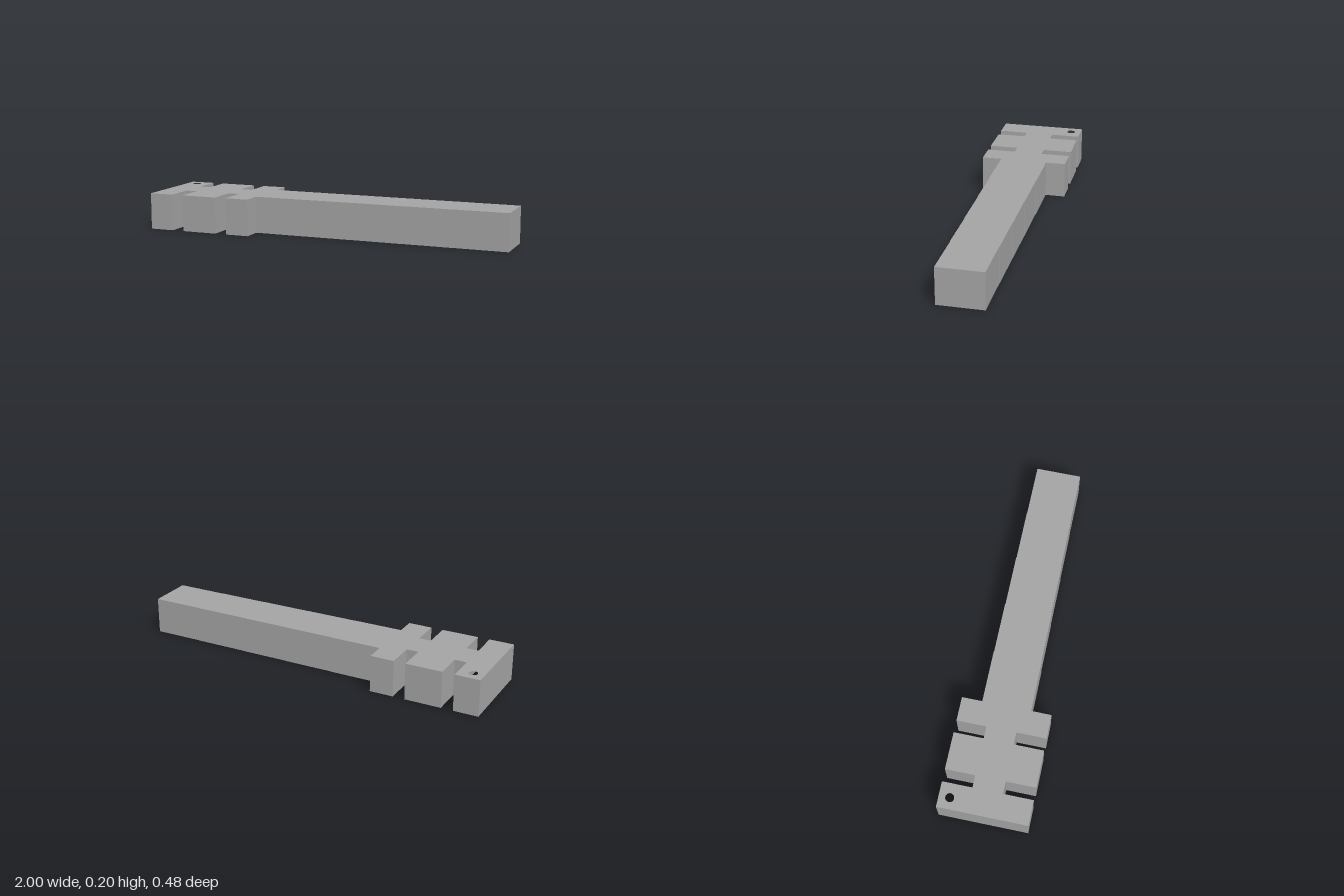
import * as THREE from 'three';

export function createModel() {
  const group = new THREE.Group();
  const grey = new THREE.MeshStandardMaterial({ color: 0xa3a3a3 });
  grey.name = 'grey';

  // Half outline along the length: [x, half width]
  const half = [
    [-1, 0.24], [-0.865, 0.24], [-0.865, 0.08], [-0.8, 0.08],
    [-0.8, 0.24], [-0.6, 0.24], [-0.6, 0.08], [-0.535, 0.08],
    [-0.535, 0.24], [-0.405, 0.24],
  ];

  // Shaft narrows in five slight, equal-length steps
  const steps = 5, start = -0.405, len = (1 - start) / steps;
  for (let i = 0; i < steps; i++) {
    const w = 0.131 - i * 0.002;
    half.push([start + i * len, w], [start + (i + 1) * len, w]);
  }

  // Mirror the outline across the centre line
  const outline = [...half, ...half.map(([x, w]) => [x, -w]).reverse()];
  const shape = new THREE.Shape(outline.map(([x, w]) => new THREE.Vector2(x, w)));

  // Small through hole in the back corner of the head
  const hole = new THREE.Path();
  hole.absarc(-0.94, 0.182, 0.023, 0, Math.PI * 2, true);
  shape.holes.push(hole);

  const geometry = new THREE.ExtrudeGeometry(shape, { depth: 0.2, bevelEnabled: false, curveSegments: 24 });
  geometry.rotateX(-Math.PI / 2);

  const body = new THREE.Mesh(geometry, grey);
  body.name = 'notchedHeadAndShaft';
  group.add(body);
  return group;
}
